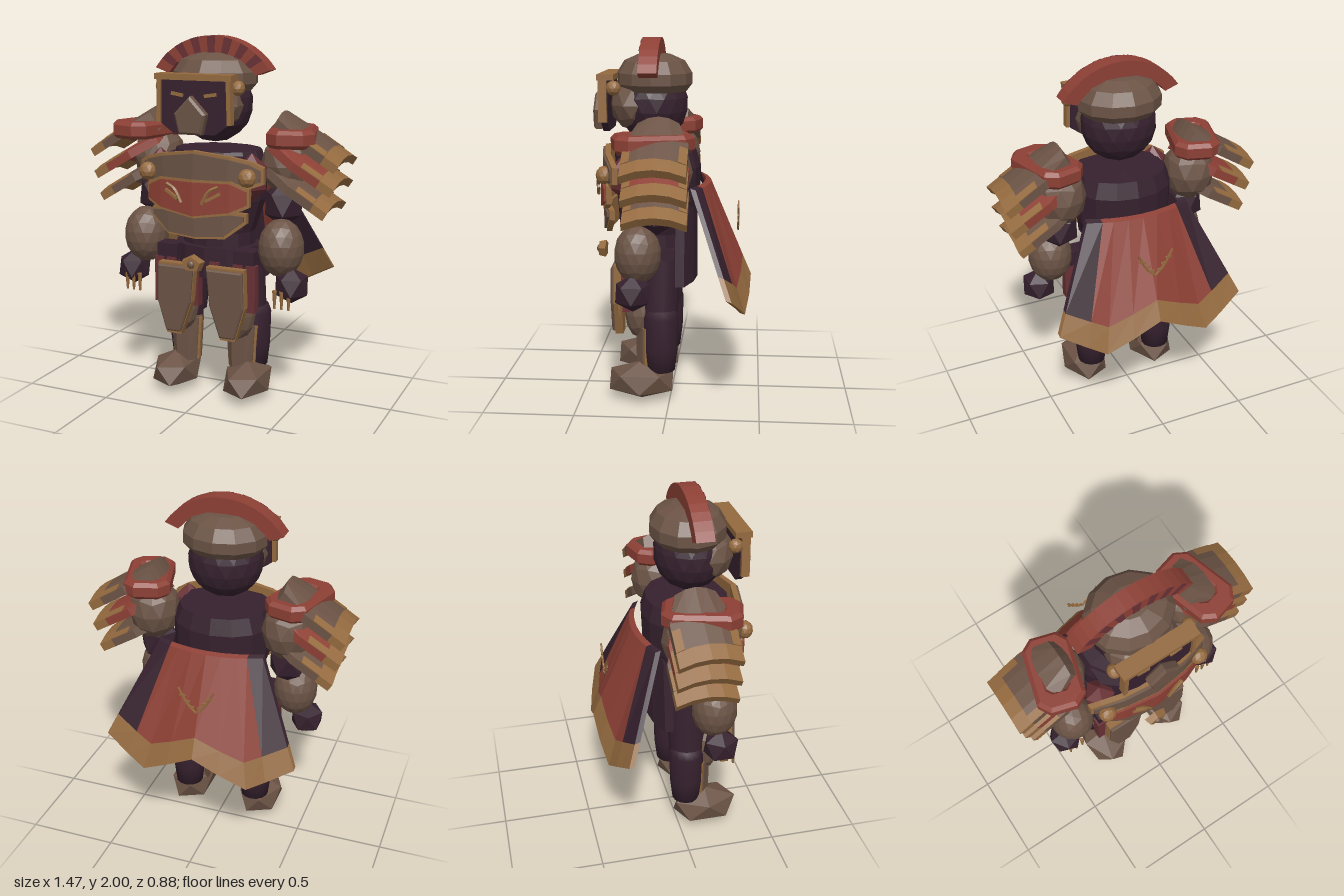
import * as THREE from 'three';

const paint = (name, color) => Object.assign(new THREE.MeshStandardMaterial({ color }), { name });

export function createModel() {
  const brown = paint('leather brown', 0x6b5345);
  const dark = paint('dark plum', 0x36212e);
  const red = paint('brick red', 0x8d4035);
  const gold = paint('old gold', 0x946a3f);
  const maroon = paint('maroon', 0x683034);
  const model = new THREE.Group();
  const V = (x, y, z) => new THREE.Vector3(x, y, z);

  // Adds a mesh, faceted unless smooth is asked for
  function add(name, geo, mat, pos = [0, 0, 0], scale = [1, 1, 1], rot = [0, 0, 0], smooth = false) {
    if (!smooth) {
      if (geo.index) geo = geo.toNonIndexed();
      geo.computeVertexNormals();
    }
    const mesh = new THREE.Mesh(geo, mat);
    mesh.name = name;
    mesh.position.set(...pos);
    mesh.scale.set(...scale);
    mesh.rotation.set(...rot);
    model.add(mesh);
    return mesh;
  }
  const ball = (name, mat, pos, scale, detail = 1) =>
    add(name, new THREE.IcosahedronGeometry(1, detail).rotateZ(Math.atan(2 / (1 + Math.sqrt(5)))), mat, pos, scale);
  const box = (name, mat, pos, size, rot) => add(name, new THREE.BoxGeometry(...size), mat, pos, [1, 1, 1], rot);

  // Closed sheet: surface fn(u, v) over us x vs, thickened along off
  function sheet(name, mat, fn, us, vs, off) {
    const grid = vs.map(v => us.map(u => fn(u, v)));
    const a = grid[0][0], n = grid[0][1].clone().sub(a).cross(grid[1][0].clone().sub(a));
    if (n.dot(off) > 0) grid.forEach(row => row.reverse());
    const out = [], back = p => p.clone().add(off);
    const quad = (p, q, r, s) => [p, q, r, p, r, s].forEach(k => out.push(k.x, k.y, k.z));
    const R = grid.length - 1, C = us.length - 1;
    for (let i = 0; i < R; i++) for (let j = 0; j < C; j++) {
      const p = grid[i][j], q = grid[i][j + 1], r = grid[i + 1][j + 1], s = grid[i + 1][j];
      quad(p, q, r, s);
      quad(back(s), back(r), back(q), back(p));
      if (i === 0) quad(q, p, back(p), back(q));
      if (i === R - 1) quad(s, r, back(r), back(s));
      if (j === 0) quad(p, s, back(s), back(p));
      if (j === C - 1) quad(r, q, back(q), back(r));
    }
    const geo = new THREE.BufferGeometry();
    geo.setAttribute('position', new THREE.Float32BufferAttribute(out, 3));
    return add(name, geo, mat);
  }
  const steps = (a, b, n) => Array.from({ length: n + 1 }, (_, i) => a + (b - a) * i / n);
  const lerp = THREE.MathUtils.lerp;
  const poly = pts => new THREE.Shape(pts.map(p => new THREE.Vector2(...p)));
  const extrude = (shape, depth, bevel = 0) => new THREE.ExtrudeGeometry(shape, {
    depth, bevelEnabled: bevel > 0, bevelSize: bevel, bevelThickness: bevel, bevelSegments: 1 });
  const lathe = (pts, sides) => new THREE.LatheGeometry(pts.map(p => new THREE.Vector2(...p)), sides);
  const rod = (name, mat, pts, r) => add(name,
    new THREE.TubeGeometry(new THREE.CatmullRomCurve3(pts.map(p => V(...p))), 6, r, 5), mat);

  // Head and helmet
  ball('head', dark, [0, 1.64, 0.11], [0.21, 0.21, 0.195], 2);
  ball('cheeks', brown, [0, 1.64, 0.21], [0.205, 0.15, 0.135]);
  add('helmet', lathe([[0, 1.71], [0.2, 1.71], [0.235, 1.75], [0.235, 1.81], [0.19, 1.875], [0.1, 1.91], [0, 1.915]], 12),
    brown, [0, 0, 0.1], [1, 1, 0.88]);

  // Helmet crest with darker stripes on its front
  const crest = z => (u, v) => V(Math.sin(u) * lerp(0.31, 0.404, v), 1.596 + Math.cos(u) * lerp(0.31, 0.404, v)
    + (1 - v) * 0.03 * Math.sin(Math.abs(u)), z);
  sheet('crest', red, crest(0.16), steps(-0.97, 0.97, 14), [0, 1], V(0, 0, -0.1));
  steps(-0.75, 0.75, 6).forEach(a =>
    sheet('crestStripe', maroon, crest(0.163), [a - 0.06, a + 0.06], [0, 1], V(0, 0, -0.005)));

  // Face mask, frame, beak and eyes
  add('mask', extrude(poly([[-0.19, 1.55], [-0.12, 1.5], [0.12, 1.5], [0.19, 1.55], [0.19, 1.79], [-0.19, 1.79]]), 0.035),
    dark, [0, 0, 0.335]);
  box('maskTopBar', gold, [0, 1.795, 0.345], [0.44, 0.032, 0.09]);
  add('beak', extrude(poly([[0, 1.685], [-0.077, 1.605], [-0.055, 1.515], [0.055, 1.515], [0.077, 1.605]]), 0.035, 0.012),
    brown, [0, 0, 0.385]);
  for (const s of [-1, 1]) {
    box('maskSideBar', gold, [s * 0.2, 1.675, 0.362], [0.022, 0.24, 0.045], [0, 0, s * 0.03]);
    box('eye', gold, [s * 0.095, 1.705, 0.373], [0.07, 0.018, 0.009], [0, 0, s * 0.15]);
    ball('maskHinge', gold, [s * 0.22, 1.74, 0.3], [0.035, 0.04, 0.04]);
  }

  // Torso, hips and rear flap
  add('torso', lathe([[0, 0.76], [0.21, 0.76], [0.21, 0.94], [0.27, 1.12], [0.28, 1.3], [0.245, 1.39], [0, 1.4]], 14),
    dark, [0, 0, 0.06], [1, 1, 0.78]);
  add('hips', new THREE.CylinderGeometry(0.25, 0.25, 0.17, 12), dark, [0, 0.78, 0.07], [1, 1, 0.75]);
  sheet('rearFlap', dark, (u, v) => V(u * lerp(0.2, 0.25, v), lerp(1.1, 0.66, v), -0.14 + 0.06 * u * u),
    steps(-1, 1, 4), [0, 1], V(0, 0, 0.05));

  // Layered curved breastplates with gold rims; columns are x, top, bottom
  function breast(name, cols, mat, z0) {
    const all = [...cols.slice(1).reverse().map(([x, t, b]) => [-x, t, b]), ...cols];
    const surface = (grow, dz) => (i, v) => {
      const [x, t, b] = all[i];
      return V(x * (1 + grow * 3), v ? b - grow : t + grow, z0 + dz - 0.7 * x * x);
    };
    const idx = all.map((_, i) => i);
    sheet(name, mat, surface(0, 0), idx, [0, 1], V(0, 0, -0.04));
    sheet(name + 'Rim', gold, surface(0.014, -0.014), idx, [0, 1], V(0, 0, -0.03));
  }
  breast('upperBreastplate', [[0, 1.4, 1.23], [0.19, 1.375, 1.23], [0.29, 1.35, 1.24], [0.345, 1.32, 1.26]], brown, 0.39);
  breast('middleBreastplate', [[0, 1.25, 1.07], [0.2, 1.25, 1.1], [0.285, 1.21, 1.14]], red, 0.405);
  breast('lowerBreastplate', [[0, 1.085, 0.955], [0.16, 1.085, 0.965], [0.265, 1.075, 1.05]], brown, 0.385);
  add('chestFilling', new THREE.CylinderGeometry(0.26, 0.22, 0.4, 10), dark, [0, 1.17, 0.17], [1, 1, 0.6]);

  // Cape with dark borders, wavy gold hem and leafy badge
  const hemY = a => a < 0.55 ? lerp(0.68, 0.53, a / 0.55) : lerp(0.53, 0.67, (a - 0.55) / 0.45);
  const cape = (u, v) => V(u * lerp(0.3, 0.55, v), lerp(1.21, hemY(Math.abs(u)), v),
    lerp(-0.215 + 0.07 * u * u, -0.445 + 0.1 * u * u, v));
  const inward = V(0, 0.01, 0.03);
  sheet('capeCentre', red, cape, [-0.74, -0.55, -0.28, 0, 0.28, 0.55, 0.74], [0, 0.79], inward);
  sheet('capeHem', gold, cape, [-1, -0.74, -0.55, -0.28, 0, 0.28, 0.55, 0.74, 1], [0.79, 1], inward);
  for (const s of [-1, 1]) {
    sheet('capeBorder', dark, cape, [s * 0.74, s], [0, 0.79], inward);
    rod('capeBadgeBranch', gold, [[0, 0.935, -0.37], [s * 0.05, 0.985, -0.37], [s * 0.1, 1.08, -0.37]], 0.006);
    for (const t of [0.25, 0.5, 0.75])
      box('capeBadgeLeaf', gold, [s * 0.1 * t, 0.935 + 0.13 * t, -0.37], [0.035, 0.012, 0.008], [0, 0, s * 0.2]);
  }

  // Belt buckle
  add('buckle', new THREE.CylinderGeometry(0.045, 0.055, 0.04, 5).rotateX(Math.PI / 2).rotateZ(Math.PI),
    gold, [0, 0.81, 0.4], [1.25, 0.9, 1]);
  ball('buckleStud', brown, [0, 0.81, 0.42], [0.022, 0.022, 0.016]);

  for (const s of [-1, 1]) {
    // Chest studs, emblem and collar knots
    ball('chestStud', gold, [s * 0.29, 1.285, 0.345], [0.05, 0.05, 0.045]);
    rod('chestBranch', gold, [[s * 0.15, 1.235, 0.396], [s * 0.1, 1.21, 0.406], [s * 0.06, 1.14, 0.41]], 0.01);
    box('chestLeaf', gold, [s * 0.12, 1.18, 0.402], [0.09, 0.016, 0.012], [0, s * 0.17, s * 0.5]);
    ball('collarKnot', maroon, [s * 0.27, 1.27, 0.235], [0.09, 0.13, 0.09], 0);

    // Shoulder ball and collar ring
    ball('shoulder', brown, [s * 0.39, 1.32, 0.02], [0.145, 0.17, 0.155]);
    const w = 0.115, d = 0.2, c = 0.05;
    const octagon = k => [[w - c, -d], [w, c - d], [w, d - c], [w - c, d], [c - w, d], [-w, d - c], [-w, c - d], [c - w, -d]]
      .map(([x, y]) => [x * k, y * k]);
    const ring = poly(octagon(0.93));
    ring.holes.push(new THREE.Path(octagon(0.6).reverse().map(p => new THREE.Vector2(...p))));
    add('shoulderRing', extrude(ring, 0.055, 0.02).rotateX(Math.PI / 2), red, [s * 0.435, 1.508, 0.07], [1, 1, 1], [0, s * 0.28, 0]);

    // Arched, overlapping shoulder tiles; the top one has a thick root inside the ring
    const tiles = [[0.38, 1.61, 0.735, 1.39, brown], [0.35, 1.48, 0.715, 1.265, red], [0.33, 1.35, 0.68, 1.14, brown]];
    tiles.forEach(([x0, y0, x1, y1, mat], i) => {
      const tile = (u, v) => V(s * lerp(x0, x1, v), lerp(y0, y1, v) - 0.035 * u * u,
        0.045 + 0.165 * u * lerp(0.65, 1, Math.min(1, v * 2.5)));
      const raised = (u, v) => tile(u, v).add(V(s * 0.002, 0.004, 0));
      const under = V(-s * 0.025, -0.04, 0), us = steps(-1, 1, 4);
      sheet('shoulderTile', mat, tile, us, [0, 0.4, 0.79], under);
      sheet('shoulderTileEdge', gold, tile, us, [0.79, 1], under);
      for (const e of [-1, 1])
        sheet('shoulderTileTrim', gold, raised, [e * 0.74, e], [0.5, 0.79], V(-s * 0.002, -0.005, 0));
      if (i === 0) sheet('shoulderTileRoot', brown, (u, v) => tile(u, v).add(under), us, [0, 0.25], V(-s * 0.035, -0.055, 0));
    });

    // Arms, hands and claws
    ball('upperArm', dark, [s * 0.385, 1.11, 0.06], [0.115, 0.13, 0.12], 0);
    ball('forearm', brown, [s * 0.41, 0.885, 0.155], [0.125, 0.16, 0.125], 2);
    ball('hand', dark, [s * 0.48, 0.69, 0.175], [0.1, 0.1, 0.105], 0);
    for (const x of [0.41, 0.45, 0.49])
      add('claw', new THREE.CylinderGeometry(0.013, 0.006, 0.1, 6), gold, [s * x, 0.62, 0.245]);

    // Hip straps and front thigh plates
    for (const x of [0.06, 0.2, 0.275]) box('skirtStrap', maroon, [s * x, 0.66, 0.235], [0.055, 0.26, 0.05]);
    box('hipPouch', dark, [s * 0.23, 0.82, 0.2], [0.12, 0.09, 0.1]);
    const outline = [[0.035, 0.775], [0.055, 0.56], [0.12, 0.37], [0.205, 0.37], [0.262, 0.56], [0.255, 0.775]];
    const mid = [0.155, 0.59];
    const plate = k => {
      const pts = outline.map(([x, y]) => [s * (mid[0] + (x - mid[0]) * k), mid[1] + (y - mid[1]) * k]);
      return poly(s > 0 ? pts : pts.reverse());
    };
    add('thighPlateRim', extrude(plate(1), 0.045), gold, [0, 0, 0.262]);
    add('thighPlate', extrude(plate(0.89), 0.012, 0.008), brown, [0, 0, 0.305]);

    // Legs, knees, shin guards and feet
    add('thigh', new THREE.CylinderGeometry(0.115, 0.1, 0.34, 14), dark, [s * 0.17, 0.63, 0.06], [1, 1, 1], [0, 0, s * 0.1], true);
    add('shin', lathe([[0, 0.14], [0.08, 0.17], [0.095, 0.3], [0.1, 0.48], [0.085, 0.52], [0, 0.54]], 14),
      dark, [s * 0.21, 0, 0.052], [1, 1, 1], [0, 0, 0], true);
    ball('knee', brown, [s * 0.175, 0.49, 0.17], [0.09, 0.15, 0.085]);
    const guard = (g, z) => (u, v) => V(s * (0.172 + u * lerp(0.085, 0.07, v) * g), lerp(0.42, 0.17, v), z - 0.05 * u * u);
    sheet('shinGuard', brown, guard(1, 0.2), [-1, -0.5, 0.5, 1], [0, 1], V(0, 0, -0.07));
    sheet('shinGuardRim', gold, guard(1.13, 0.185), [-1, -0.5, 0.5, 1], [0, 1], V(0, 0, -0.02));
    ball('foot', brown, [s * 0.22, 0.11, 0.16], [0.14, 0.11, 0.207], 0);
  }

  return model;
}
